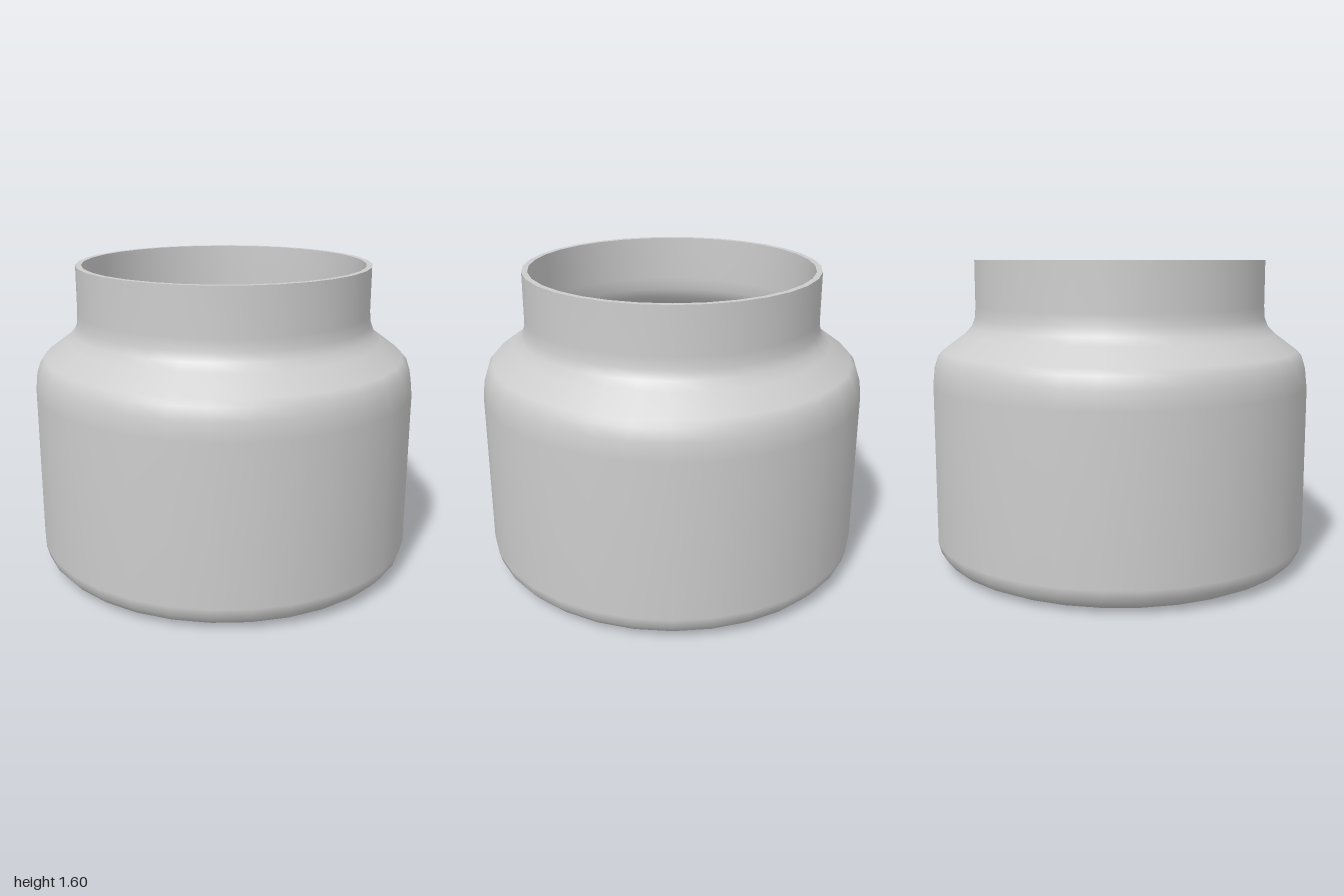
import * as THREE from 'three';

const SIDES = 32;

export function createModel() {
  const jar = new THREE.Group();
  jar.name = 'jar';
  const grey = new THREE.MeshStandardMaterial({ color: 0xcccccc });
  grey.name = 'light grey';

  // Turns a profile of [radius, height] pairs; rising profiles face outwards
  const turn = (name, profile) => {
    const points = profile.map(([r, y]) => new THREE.Vector2(r, y));
    const mesh = new THREE.Mesh(new THREE.LatheGeometry(points, SIDES), grey);
    mesh.name = name;
    jar.add(mesh);
  };

  // Base, rounded foot, straight body, sloping shoulder and neck
  turn('outerWall', [
    [0, 0], [0.86, 0], [0.9, 0.01], [0.95, 0.035], [0.985, 0.075], [1, 0.13],
    [1, 0.95], [0.99, 1.04], [0.97, 1.1], [0.945, 1.13],
    [0.83, 1.215], [0.79, 1.255], [0.772, 1.3], [0.768, 1.36], [0.768, 1.6],
  ]);

  // Flat lip between the outer and inner walls
  turn('rim', [[0.768, 1.6], [0.738, 1.6]]);

  // Inside of the neck and shoulder
  turn('innerWall', [
    [0.738, 1.6], [0.738, 1.36], [0.744, 1.29], [0.765, 1.235],
    [0.81, 1.19], [0.925, 1.105], [0.95, 1.075],
  ]);

  // Gently dished surface of the contents
  const dish = [];
  for (let i = 8; i >= 0; i--) {
    const t = i / 8;
    dish.push([0.95 * t, 1.05 + 0.025 * t * t]);
  }
  turn('contentsSurface', dish);

  return jar;
}
